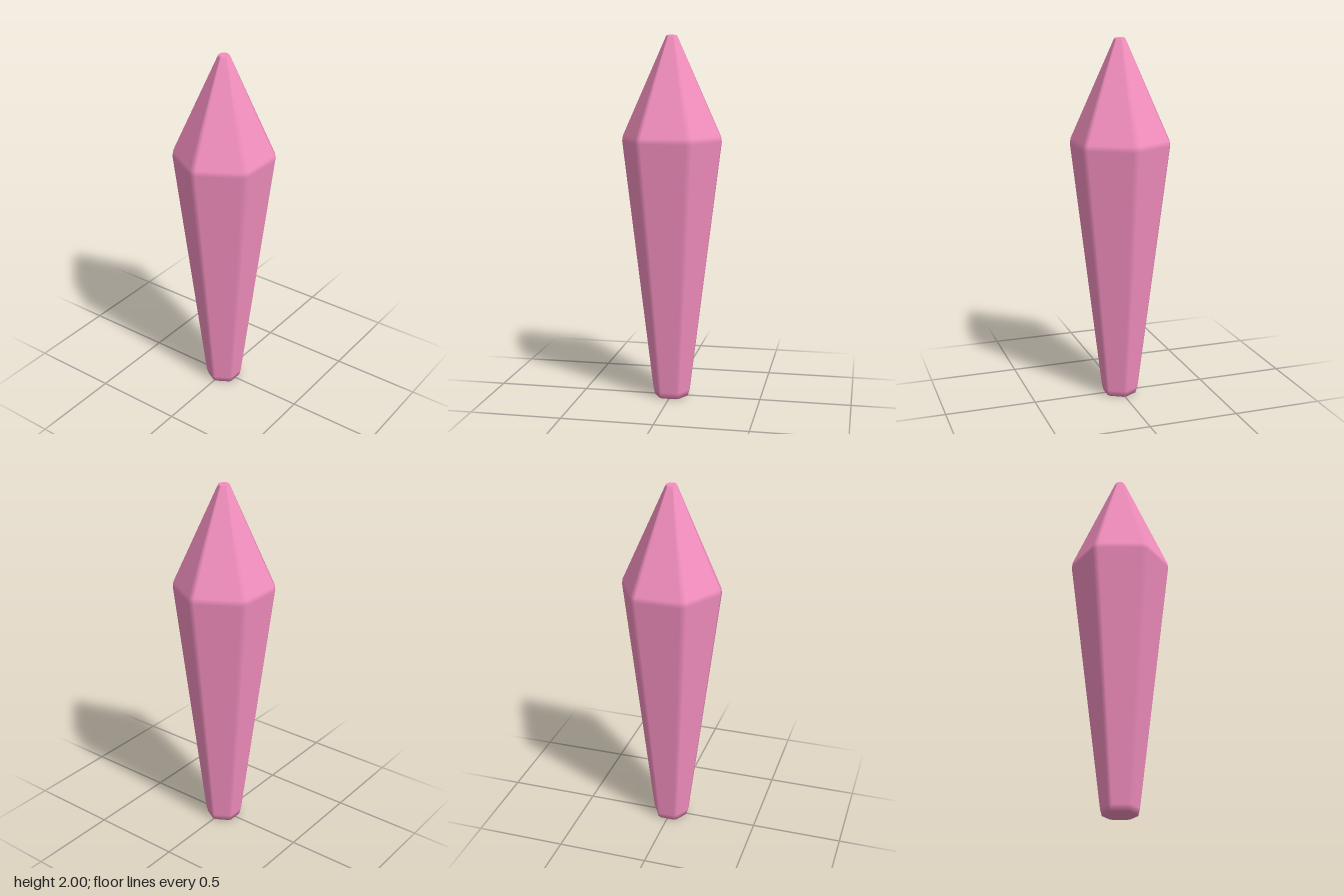
import * as THREE from 'three';

// Each ring: height, distance to the flats, corner cut, and the shading normal (outward, up)
const RINGS = [
  { y: 0, flat: 0.085, cut: 0.011, out: 0, up: -1 },
  { y: 0.035, flat: 0.094, cut: 0.013, out: 1, up: -0.108 },
  { y: 1.43, flat: 0.245, cut: 0.02, out: 1, up: -0.108 },
  { y: 1.46, flat: 0.241, cut: 0.02, out: 1, up: 0.4 },
  { y: 1.99, flat: 0.03, cut: 0.005, out: 1, up: 0.4 },
  { y: 2, flat: 0.0255, cut: 0.004, out: 0, up: 1 },
];
const SIDES = 6;
const N = SIDES * 2;

// Loft of hexagons with bevelled corners; flats stay flat, bevels shade smoothly
function bevelledCrystal() {
  const positions = [], normals = [], index = [];
  for (const { y, flat, cut, out, up } of RINGS) {
    const half = flat * Math.tan(Math.PI / SIDES) - cut;
    for (let k = 0; k < SIDES; k++) {
      const angle = ((k + 0.5) / SIDES) * Math.PI * 2;
      const c = Math.cos(angle), s = Math.sin(angle);
      const n = new THREE.Vector3(c * out, up, s * out).normalize();
      for (const t of [-half, half]) {
        positions.push(c * flat - s * t, y, s * flat + c * t);
        normals.push(n.x, n.y, n.z);
      }
    }
  }
  // Sides
  for (let r = 0; r < RINGS.length - 1; r++) {
    for (let i = 0; i < N; i++) {
      const j = (i + 1) % N;
      const a = r * N + i, b = r * N + j;
      index.push(a, a + N, b, a + N, b + N, b);
    }
  }
  // End caps
  const top = (RINGS.length - 1) * N;
  for (let i = 1; i < N - 1; i++) {
    index.push(0, i, i + 1);
    index.push(top, top + i + 1, top + i);
  }
  const geometry = new THREE.BufferGeometry();
  geometry.setAttribute('position', new THREE.Float32BufferAttribute(positions, 3));
  geometry.setAttribute('normal', new THREE.Float32BufferAttribute(normals, 3));
  geometry.setIndex(index);
  return geometry;
}

export function createModel() {
  const group = new THREE.Group();
  group.name = 'crystalShard';
  const crystal = new THREE.Mesh(
    bevelledCrystal(),
    new THREE.MeshStandardMaterial({ color: 0xf48fbf })
  );
  crystal.name = 'crystal';
  group.add(crystal);
  return group;
}
